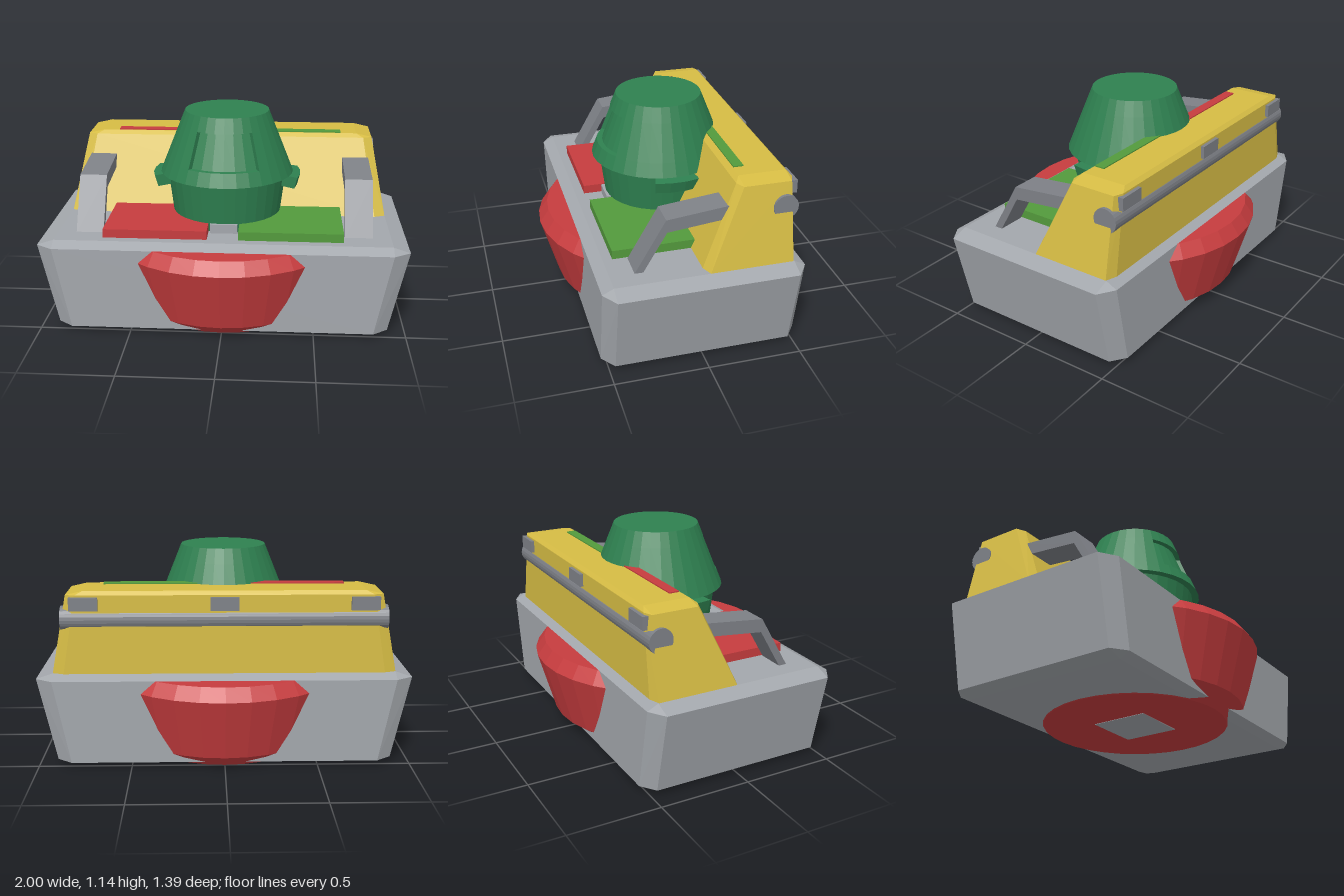
import * as THREE from 'three';
import { ConvexGeometry } from 'three/addons/geometries/ConvexGeometry.js';

const mat = (name, color) => {
  const m = new THREE.MeshStandardMaterial({ color });
  m.name = name;
  return m;
};

export function createModel() {
  const root = new THREE.Group();
  const grey = mat('light grey', 0xa3a7ac);
  const darkGrey = mat('dark grey', 0x7e8187);
  const red = mat('red', 0xc63c3e);
  const yellow = mat('yellow', 0xd6bc44);
  const domeGreen = mat('dome green', 0x2e8050);
  const tileGreen = mat('tile green', 0x539a3c);
  domeGreen.side = THREE.DoubleSide;

  // Adds a mesh with faceted normals
  const add = (name, geometry, material, parent = root) => {
    const g = geometry.index ? geometry.toNonIndexed() : geometry;
    g.computeVertexNormals();
    const mesh = new THREE.Mesh(g, material);
    mesh.name = name;
    parent.add(mesh);
    return mesh;
  };
  // Box given by its limits
  const box = (name, x0, x1, y0, y1, z0, z1, material) => {
    const g = new THREE.BoxGeometry(x1 - x0, y1 - y0, z1 - z0);
    g.translate((x0 + x1) / 2, (y0 + y1) / 2, (z0 + z1) / 2);
    return add(name, g, material);
  };
  // Convex block from corners, mirrored across x
  const block = (name, corners, material) => add(name, new ConvexGeometry(
    corners.flatMap(([x, y, z]) => [new THREE.Vector3(x, y, z), new THREE.Vector3(-x, y, z)])), material);
  const SIDES = 32, STEP = Math.PI * 2 / SIDES;
  const lathe = (name, pts, material, parent, start = 0, length = Math.PI * 2) =>
    add(name, new THREE.LatheGeometry(pts.map(p => new THREE.Vector2(...p)),
      Math.max(1, Math.round(length / STEP)), start, length), material, parent);
  // Flat radial wall closing a partial lathe
  const radialWall = (name, pts, phi, material, parent) => {
    const g = new THREE.ShapeGeometry(new THREE.Shape(pts.map(p => new THREE.Vector2(...p))));
    g.rotateY(phi - Math.PI / 2);
    return add(name, g, material, parent);
  };

  // Base hull with cut corners and tapered ends
  const hull = [];
  for (const s of [-1, 1]) {
    hull.push([0.91, 0.51, s * 0.47], [1, 0.48, s * 0.47], [0.91, 0.48, s * 0.53],
      [0.9, 0.028, s * 0.47], [0.82, 0.028, s * 0.53], [0.81, 0.004, s * 0.47]);
  }
  block('baseHull', hull, grey);
  lathe('redDisc', [[0, 0], [0.505, 0], [0.6, 0.075], [0.695, 0.41], [0.645, 0.48], [0, 0.48]], red, root);
  box('bottomPlate', -0.16, 0.16, -0.002, 0.003, -0.16, 0.16, grey);

  // Yellow rear housing
  block('rearHousing', [
    [0.91, 0.51, -0.025], [0.85, 0.51, 0], [0.91, 0.51, -0.465], [0.85, 0.51, -0.487],
    [0.83, 0.93, -0.21], [0.78, 0.93, -0.185], [0.83, 0.93, -0.46], [0.78, 0.93, -0.48],
    [0.74, 0.95, -0.21], [0.74, 0.95, -0.46],
  ], yellow);

  // Hinge rod and its tabs
  const rod = new THREE.CylinderGeometry(0.066, 0.066, 1.72, 24);
  rod.rotateZ(Math.PI / 2);
  rod.translate(0, 0.8, -0.427);
  add('hingeRod', rod, darkGrey);
  for (const x of [-0.735, 0, 0.735]) box('hingeTab', x - 0.075, x + 0.075, 0.85, 0.92, -0.5, -0.45, darkGrey);

  // Coloured tiles on the base and strips on the housing
  for (const [s, m, n] of [[-1, red, 'red'], [1, tileGreen, 'green']]) {
    const a = Math.min(s * 0.085, s * 0.65), b = Math.max(s * 0.085, s * 0.65);
    box(n + 'Tile', a, b, 0.5, 0.558, -0.02, 0.42, m);
    box(n + 'Strip', a, b, 0.947, 0.956, -0.27, -0.215, m);
  }
  box('centreBlock', -0.075, 0.075, 0.5, 0.56, 0.05, 0.32, grey);

  // Bent arms joining base and housing
  const arm = new THREE.Shape([[0.345, 0.505], [0.18, 0.79], [-0.15, 0.825], [-0.11, 0.75], [0.175, 0.72], [0.3, 0.505]]
    .map(([z, y]) => new THREE.Vector2(-z, y)));
  for (const x of [-0.735, 0.735]) {
    const g = new THREE.ExtrudeGeometry(arm, { depth: 0.15, bevelEnabled: false });
    g.rotateY(Math.PI / 2);
    g.translate(x - 0.075, 0, 0);
    add('arm', g, darkGrey);
  }

  // Green dome with a recessed front window
  const dome = new THREE.Group();
  dome.name = 'dome';
  root.add(dome);
  const w = 3 * STEP;
  lathe('domeLower', [[0.3, 0.505], [0.335, 0.785], [0.375, 0.785], [0.345, 0.86]], domeGreen, dome);
  lathe('domeSide', [[0.345, 0.86], [0.267, 1.055]], domeGreen, dome, w, Math.PI * 2 - 2 * w);
  lathe('domeTop', [[0.267, 1.055], [0.235, 1.135], [0, 1.135]], domeGreen, dome);
  const recess = [[0.345, 0.86], [0.315, 0.86], [0.237, 1.055], [0.267, 1.055]];
  lathe('window', recess, domeGreen, dome, -w, 2 * w);
  for (const s of [-1, 1]) radialWall('windowSide', recess, s * w, domeGreen, dome);

  // Side ears of the dome
  const ear = [[0.32, 0.72], [0.4, 0.71], [0.418, 0.775], [0.32, 0.785]];
  for (const s of [-1, 1]) {
    const c = s * Math.PI / 2;
    lathe('ear', ear, domeGreen, dome, c - 0.3, 0.6);
    for (const e of [-0.3, 0.3]) radialWall('earEnd', ear, c + e, domeGreen, dome);
  }
  return root;
}
